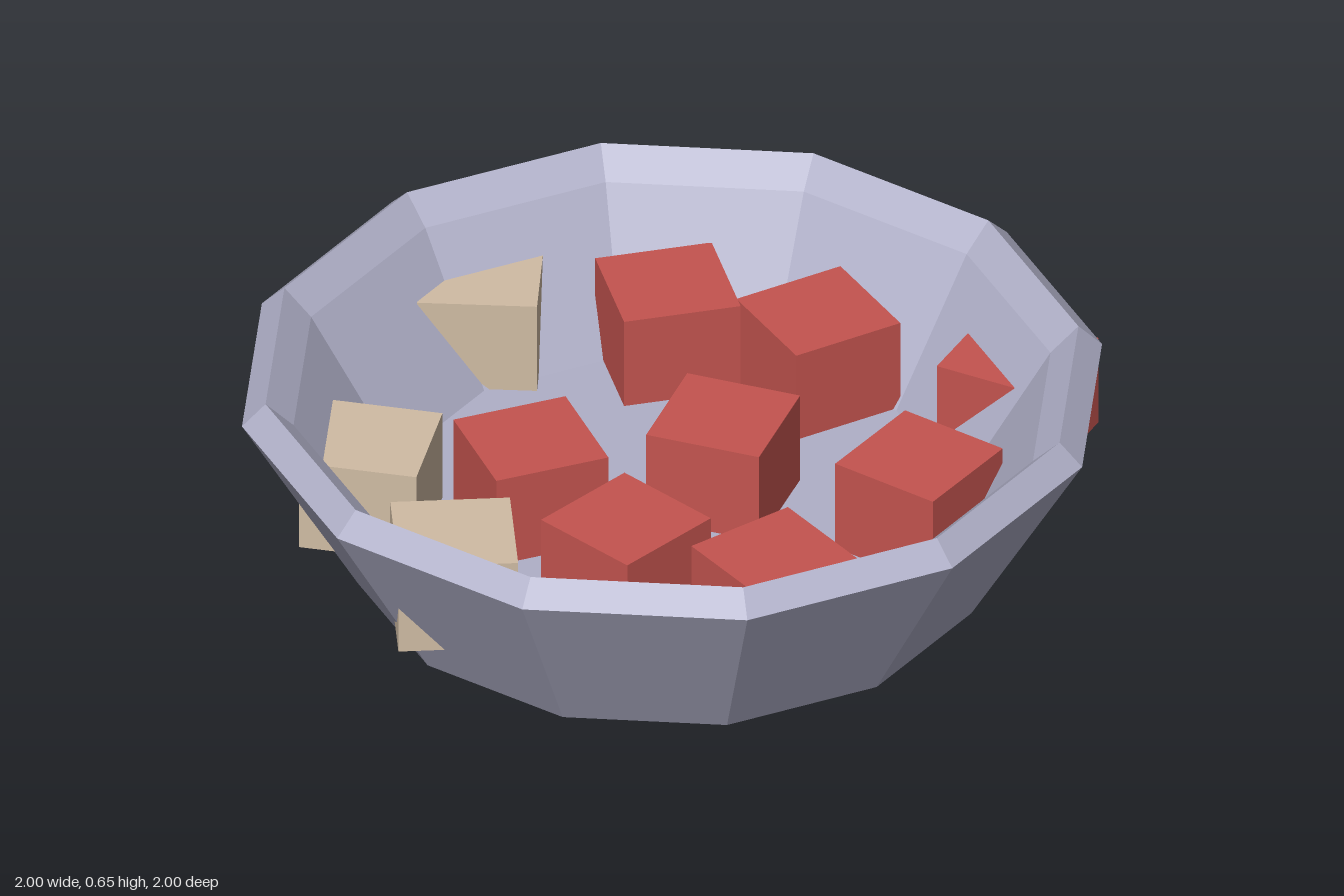
import * as THREE from 'three';

const FLOOR = 0.25; // height of the bowl's inner floor
const SIDE = 0.275; // chunk footprint
const HEIGHT = 0.23; // chunk height

function material(name, color) {
  const m = new THREE.MeshStandardMaterial({ color, flatShading: true });
  m.name = name;
  return m;
}

export function createModel() {
  const group = new THREE.Group();
  group.name = 'bowlOfChunks';
  const metal = material('blueGrey', 0xb0b0c8);
  const red = material('meatRed', 0xc4544f);
  const tan = material('biscuitTan', 0xd0bca4);

  // Twelve-sided bowl: outside from the base up, over the rim, down to the inner floor
  const profile = [
    [0, 0], [0.45, 0], [0.73, 0.14], [1, 0.6], [0.945, 0.655],
    [0.88, 0.59], [0.67, FLOOR], [0, FLOOR],
  ].map(([r, y]) => new THREE.Vector2(r, y));
  const bowlGeometry = new THREE.LatheGeometry(profile, 12).toNonIndexed();
  bowlGeometry.computeVertexNormals();
  const bowl = new THREE.Mesh(bowlGeometry, metal);
  bowl.name = 'bowl';
  group.add(bowl);

  // Food chunks standing on the floor: x, z, turn in degrees
  const chunkGeometry = new THREE.BoxGeometry(SIDE, HEIGHT, SIDE);
  function addChunks(name, mat, places) {
    const set = new THREE.Group();
    set.name = name + 's';
    places.forEach(([x, z, turn], i) => {
      const chunk = new THREE.Mesh(chunkGeometry, mat);
      chunk.name = name + (i + 1);
      chunk.position.set(x, FLOOR + HEIGHT / 2, z);
      chunk.rotation.y = -THREE.MathUtils.degToRad(turn);
      set.add(chunk);
    });
    group.add(set);
  }

  addChunks('redChunk', red, [
    [-0.22, -0.575, -34],
    [0.145, -0.58, 40],
    [0.09, -0.095, 0],
    [0.57, -0.088, 15.5],
    [-0.29, 0.148, 49],
    [0.03, 0.39, 24],
    [0.4, 0.406, 33.5],
    [0.633, -0.575, 7.3],
  ]);
  addChunks('tanChunk', tan, [
    [-0.637, -0.468, -16.5],
    [-0.635, 0.272, -7.5],
    [-0.32, 0.578, -24],
  ]);

  return group;
}
